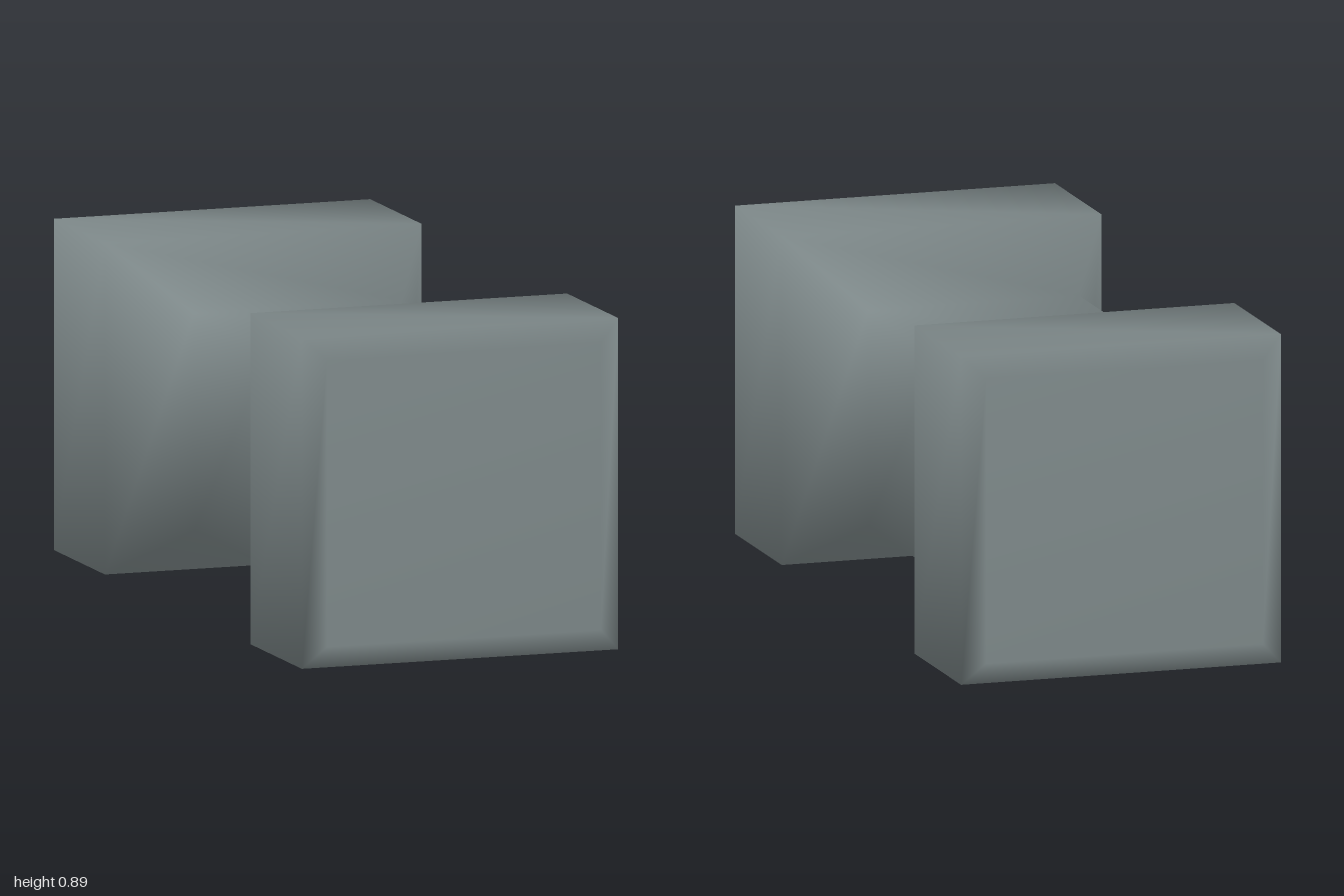
import * as THREE from 'three';

// Square cross-sections along the bar: [z, half width]
const SECTIONS = [
  [1, 0.385], [0.97, 0.445], [0.57, 0.445], [0.295, 0.293],
  [-0.295, 0.293], [-0.57, 0.445], [-0.97, 0.445], [-1, 0.385],
];
const CENTER_Y = 0.445;

export function createModel() {
  const steel = new THREE.MeshStandardMaterial({ color: 0x808b8c });
  steel.name = 'greySteel';

  // Four shared corners per section keep the normals smooth over the whole bar
  const positions = [];
  const index = [];
  for (const [z, h] of SECTIONS) {
    for (const [sx, sy] of [[-1, -1], [1, -1], [1, 1], [-1, 1]]) {
      positions.push(sx * h, CENTER_Y + sy * h, z);
    }
  }

  // Counter-clockwise quad
  const quad = (a, b, c, d) => index.push(a, b, c, a, c, d);

  // Side walls between neighbouring sections
  for (let s = 0; s < SECTIONS.length - 1; s++) {
    for (let k = 0; k < 4; k++) {
      const a = s * 4 + k;
      const b = s * 4 + (k + 1) % 4;
      quad(a, a + 4, b + 4, b);
    }
  }

  // End caps
  const last = (SECTIONS.length - 1) * 4;
  quad(0, 1, 2, 3);
  quad(last + 3, last + 2, last + 1, last);

  const geometry = new THREE.BufferGeometry();
  geometry.setAttribute('position', new THREE.Float32BufferAttribute(positions, 3));
  geometry.setIndex(index);
  geometry.computeVertexNormals();

  const bar = new THREE.Mesh(geometry, steel);
  bar.name = 'squareDumbbell';

  const group = new THREE.Group();
  group.name = 'dumbbell';
  group.add(bar);
  return group;
}
